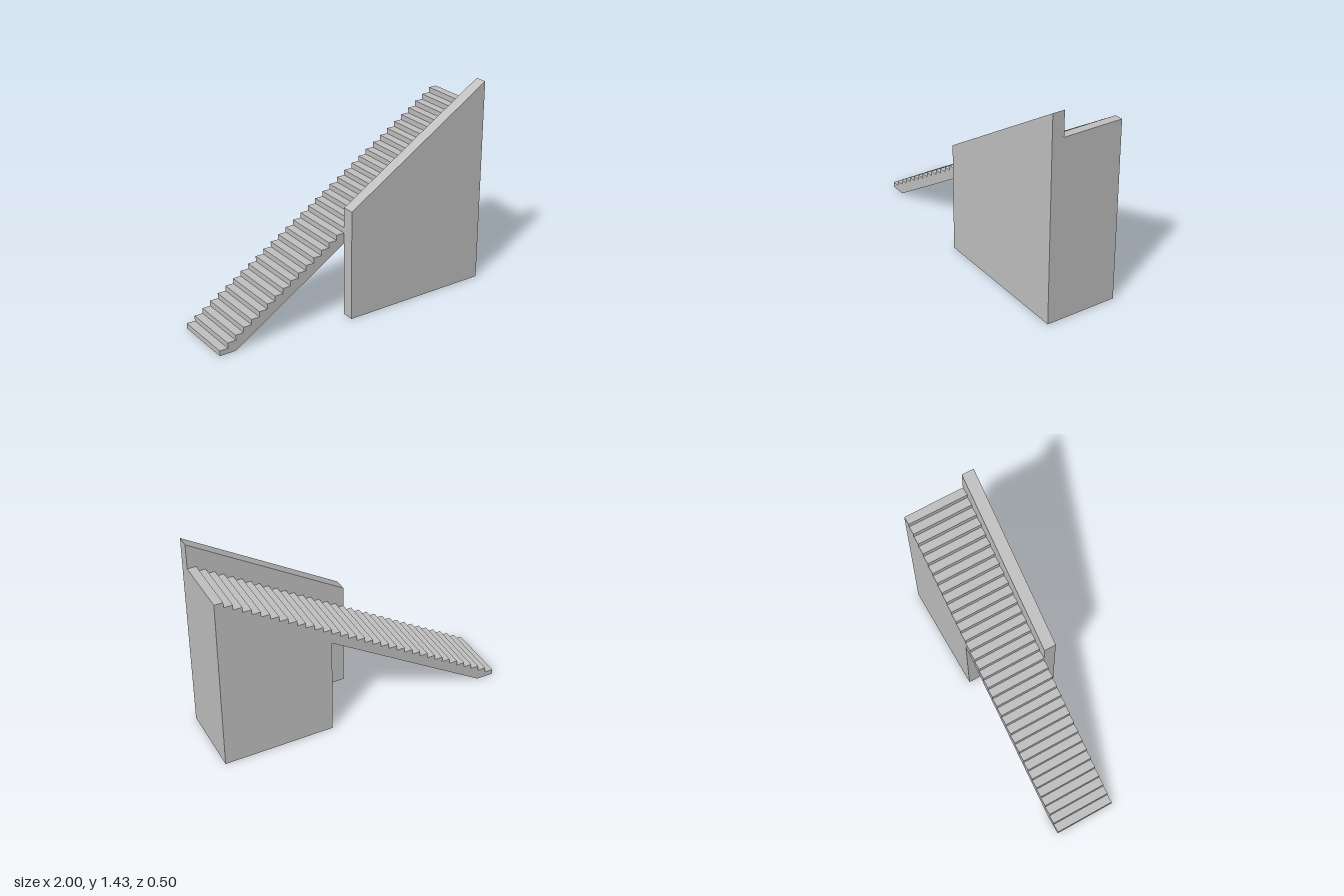
import * as THREE from 'three';

const STEPS = 34;
const RUN = 2 / STEPS;
const RISE = 1.253 / STEPS;
const BACK = -0.252, INNER = 0.168, FRONT = 0.252;

// Extrude an x/y profile between two z positions
function extrudeProfile(points, z0, z1, material, name) {
  const shape = new THREE.Shape(points.map(([x, y]) => new THREE.Vector2(x, y)));
  const geometry = new THREE.ExtrudeGeometry(shape, { depth: z1 - z0, bevelEnabled: false });
  geometry.translate(0, 0, z0);
  const mesh = new THREE.Mesh(geometry, material);
  mesh.name = name;
  return mesh;
}

export function createModel() {
  const group = new THREE.Group();
  group.name = 'staircase';
  const concrete = new THREE.MeshStandardMaterial({ color: 0xc0c0c0 });
  concrete.name = 'concrete grey';

  // Stair flight: sloped soffit below, solid base under the upper steps
  const soffitStart = -1 + 2 * RUN;
  const baseStart = -1 + 21 * RUN;
  const soffitTop = (baseStart - soffitStart) * 0.63;
  const profile = [[1, 0], [1, STEPS * RISE]];
  for (let i = STEPS - 1; i >= 0; i--) {
    const x = -1 + i * RUN;
    profile.push([x, (i + 1) * RISE], [x, i * RISE]);
  }
  profile.push([soffitStart, 0], [baseStart, soffitTop], [baseStart, 0]);
  group.add(extrudeProfile(profile, BACK, INNER, concrete, 'stairFlight'));

  // Side wall with a sloped parapet top
  const wallStart = -1 + 16 * RUN;
  group.add(extrudeProfile(
    [[wallStart, 0], [1, 0], [1, 1.427], [wallStart, 0.768]],
    INNER, FRONT, concrete, 'sideWall'));

  return group;
}
